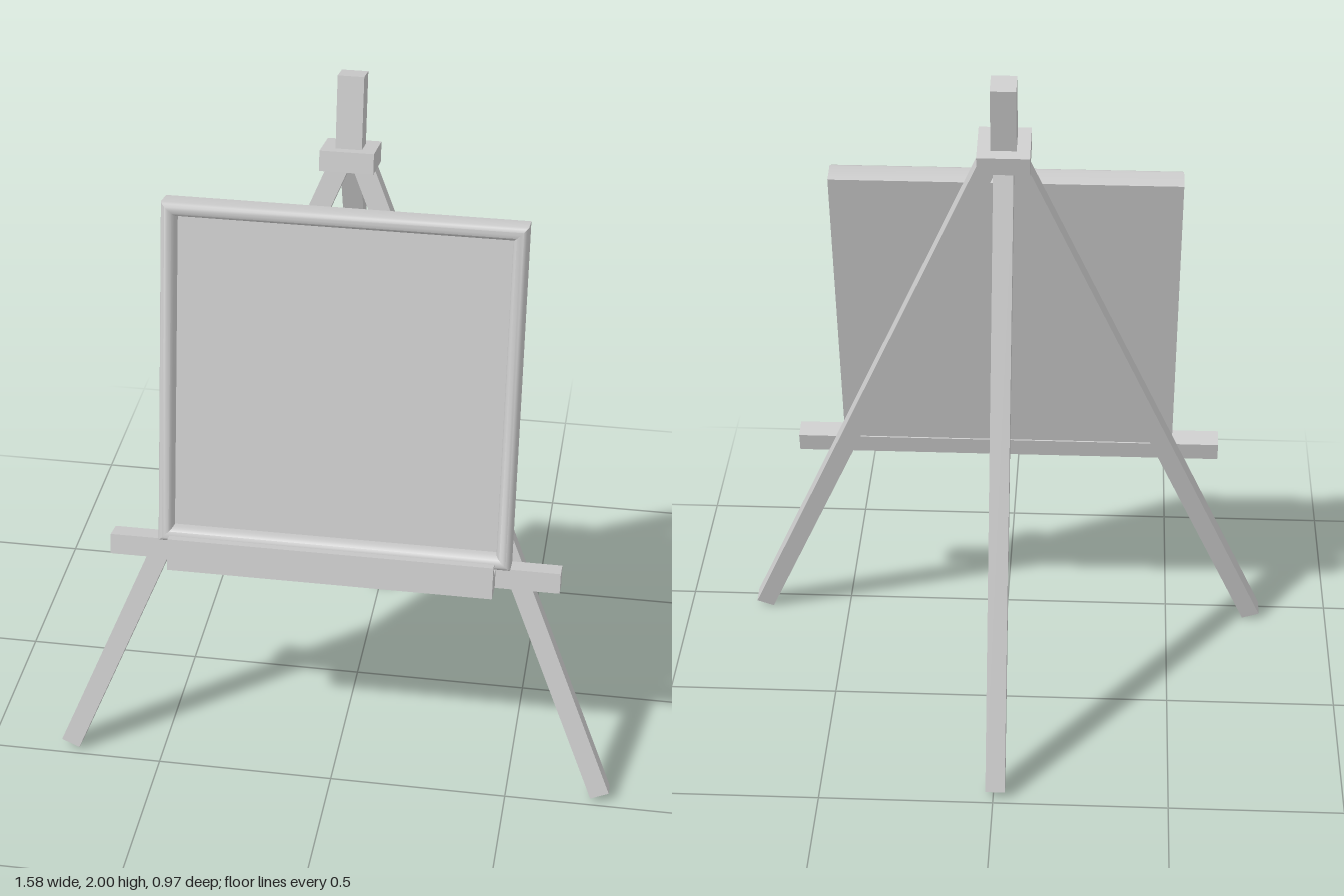
import * as THREE from 'three';
import { toCreasedNormals } from 'three/addons/utils/BufferGeometryUtils.js';

const material = new THREE.MeshStandardMaterial({ color: 0xcccccc });
const TILT = THREE.MathUtils.degToRad(12);
const CX = -0.006; // shared centre line of the post, board and tray

function add(parent, name, geometry) {
  const mesh = new THREE.Mesh(geometry, material);
  mesh.name = name;
  parent.add(mesh);
  return mesh;
}

// Box given by its extents: half width, y range and z range
function slab(parent, name, halfW, y0, y1, z0, z1) {
  const mesh = add(parent, name, new THREE.BoxGeometry(halfW * 2, y1 - y0, z1 - z0));
  mesh.position.set(CX, (y0 + y1) / 2, (z0 + z1) / 2);
  return mesh;
}

// Square-ended beam running between two points
function beam(parent, name, a, b, width, depth) {
  const dir = b.clone().sub(a);
  const mesh = add(parent, name, new THREE.BoxGeometry(width, dir.length(), depth));
  mesh.position.copy(a).add(b).multiplyScalar(0.5);
  mesh.quaternion.setFromUnitVectors(new THREE.Vector3(0, 1, 0), dir.normalize());
  return mesh;
}

// Mitred moulding: profile points are [inset from outer edge, z]
function mouldingGeometry(halfW, y0, y1, profile) {
  const positions = [];
  const index = [];
  profile.forEach(([d, z], i) => {
    const x = halfW - d;
    positions.push(-x, y0 + d, z, x, y0 + d, z, x, y1 - d, z, -x, y1 - d, z);
    if (i === 0) return;
    for (let j = 0; j < 4; j++) {
      const k = (j + 1) % 4;
      const p = (i - 1) * 4;
      const q = i * 4;
      index.push(p + j, p + k, q + k, p + j, q + k, q + j);
    }
  });
  const geometry = new THREE.BufferGeometry();
  geometry.setAttribute('position', new THREE.Float32BufferAttribute(positions, 3));
  geometry.setIndex(index);
  return toCreasedNormals(geometry, 0.7);
}

export function createModel() {
  const model = new THREE.Group();
  model.name = 'easel';

  // Everything except the rear leg leans back together
  const front = new THREE.Group();
  front.name = 'leaningFront';
  front.position.z = 0.46;
  front.rotation.x = -TILT;
  model.add(front);

  // Splayed front legs
  for (const side of [-1, 1]) {
    beam(front, side > 0 ? 'leftFrontLeg' : 'rightFrontLeg',
      new THREE.Vector3(side * 0.766, 0.016, 0.002),
      new THREE.Vector3(side * 0.03, 1.8, 0.002), 0.055, 0.05);
  }

  // Head block and post
  slab(front, 'headBlock', 0.072, 1.787, 1.842, -0.07, 0.07);
  slab(front, 'topPost', 0.035, 1.79, 2.037, -0.036, 0.036);

  // Framed board
  const y0 = 0.71, y1 = 1.681, halfW = 0.489;
  const profile = [
    [0, 0.032], [0, 0.094], [0.004, 0.102], [0.012, 0.107], [0.02, 0.107],
    [0.03, 0.103], [0.037, 0.095], [0.04, 0.085], [0.04, 0.06],
  ];
  add(front, 'boardFrame', mouldingGeometry(halfW, y0, y1, profile)).position.x = CX;
  slab(front, 'boardPanel', halfW - 0.04, y0 + 0.04, y1 - 0.04, 0.034, 0.066);
  slab(front, 'boardBack', halfW, y0, y1, 0.03, 0.034);

  // Crossbar, ledge and raised lip
  slab(front, 'crossbar', 0.627, 0.652, 0.71, 0.026, 0.086);
  slab(front, 'ledge', 0.449, 0.652, 0.709, 0.084, 0.164);
  slab(front, 'ledgeLip', 0.449, 0.7, 0.743, 0.138, 0.164);

  // Rear leg
  beam(model, 'rearLeg', new THREE.Vector3(CX, 0.02, -0.461),
    new THREE.Vector3(CX, 1.765, 0.062), 0.055, 0.05);

  return model;
}
